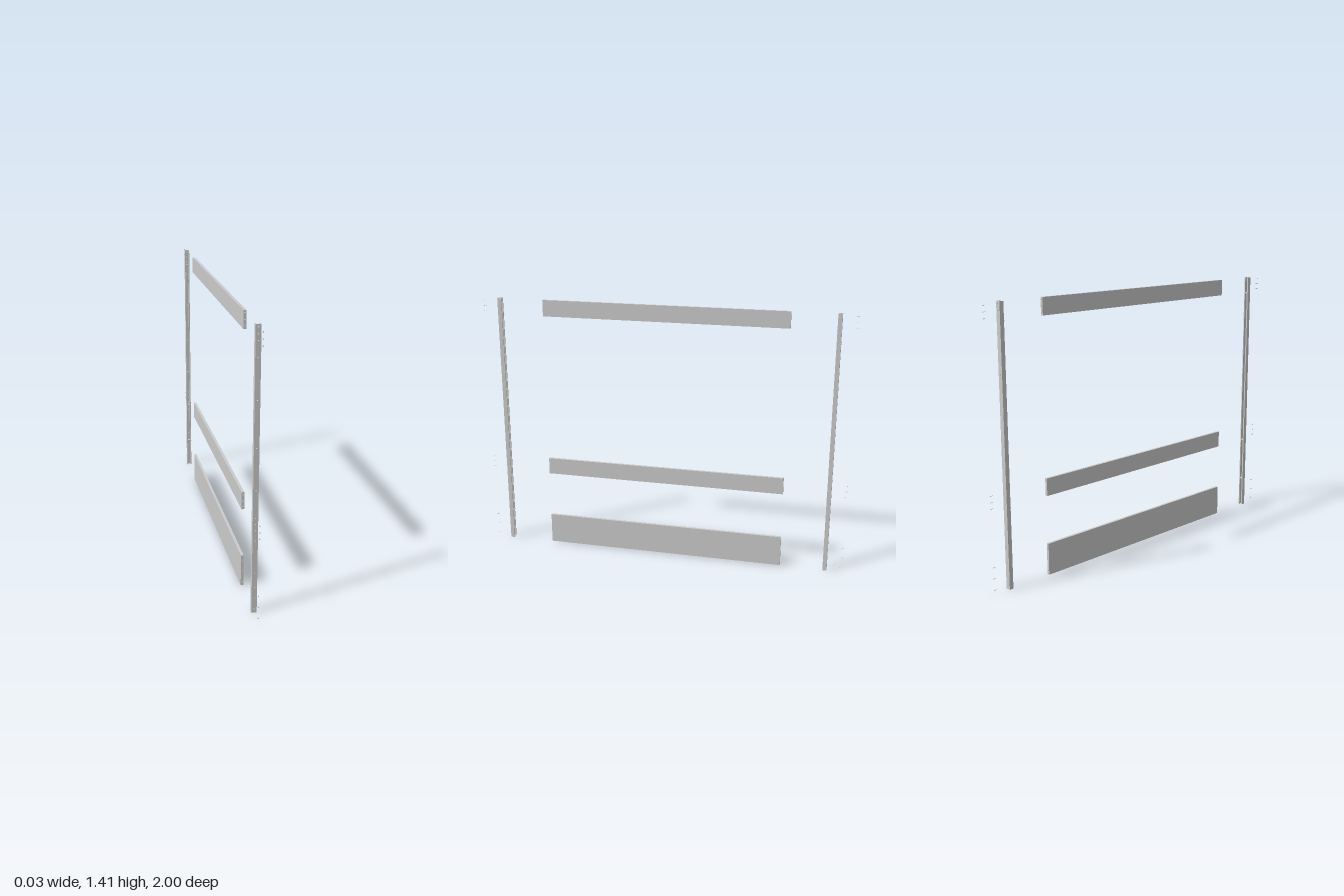
import * as THREE from 'three';

const HEIGHT = 1.413;
const POST_WIDTH = 0.026, POST_DEPTH = 0.022, WALL = 0.005;
const BOARD_THICKNESS = 0.014, BOARD_HALF = 0.662, PILOT_DEPTH = 0.015;
const HOLE_R = 0.0025;

const boards = [
  { name: 'bottomBoard', y0: 0, y1: 0.168, screws: [0.02, 0.08, 0.137] },
  { name: 'middleBoard', y0: 0.422, y1: 0.513, screws: [0.435, 0.466, 0.499] },
  { name: 'topBoard', y0: 1.325, y1: HEIGHT, screws: [1.34, 1.37, 1.401] },
];
const mountingHoles = [0.215, 0.382, 0.637, 0.845, 1.07, 1.265];
const stops = [0.171, 0.418, 1.322];

const material = new THREE.MeshStandardMaterial({ color: 0xcccccc });

function addMesh(parent, name, geometry, x = 0, y = 0, z = 0) {
  const mesh = new THREE.Mesh(geometry, material);
  mesh.name = name;
  mesh.position.set(x, y, z);
  parent.add(mesh);
  return mesh;
}

// Upright plate, pierced by round holes along its centre line
function piercedPlate(width, y0, y1, depth, holes) {
  const w = width / 2;
  const shape = new THREE.Shape([[-w, y0], [w, y0], [w, y1], [-w, y1]].map(p => new THREE.Vector2(...p)));
  for (const y of holes) shape.holes.push(new THREE.Path().absarc(0, y, HOLE_R, 0, Math.PI * 2, true));
  return new THREE.ExtrudeGeometry(shape, { depth, bevelEnabled: false, curveSegments: 8 });
}

// Board with pilot holes in both end faces
function createBoard({ name, y0, y1, screws }) {
  const board = new THREE.Group();
  board.name = name;
  const core = 2 * (BOARD_HALF - PILOT_DEPTH);
  addMesh(board, 'boardCore', new THREE.BoxGeometry(BOARD_THICKNESS, y1 - y0, core), 0, (y0 + y1) / 2, 0);
  const end = piercedPlate(BOARD_THICKNESS, y0, y1, PILOT_DEPTH, screws);
  addMesh(board, 'boardEnd', end, 0, 0, core / 2);
  addMesh(board, 'boardEnd', end, 0, 0, -BOARD_HALF);
  return board;
}

// Channel post, open towards -z, with small stops that locate the boards
function createPost() {
  const post = new THREE.Group();
  post.name = 'post';
  const allHoles = [...mountingHoles, ...boards.flatMap(b => b.screws)];
  addMesh(post, 'postWeb', piercedPlate(POST_WIDTH, 0, HEIGHT, WALL, allHoles), 0, 0, POST_DEPTH / 2 - WALL);
  const lip = POST_DEPTH - WALL;
  for (const side of [-1, 1]) {
    addMesh(post, 'postFlange', new THREE.BoxGeometry(WALL, HEIGHT, lip),
      side * (POST_WIDTH - WALL) / 2, HEIGHT / 2, -WALL / 2);
  }
  for (const y of stops) {
    addMesh(post, 'boardStop', new THREE.BoxGeometry(POST_WIDTH + 0.001, 0.005, lip + 0.002), 0, y, -WALL / 2 - 0.001);
  }
  return post;
}

// Screw along z with its countersunk head outward
function screwGeometry() {
  const profile = [[0, -0.007], [0.001, -0.005], [0.001, 0.004], [0.0028, 0.007], [0, 0.007]];
  return new THREE.LatheGeometry(profile.map(p => new THREE.Vector2(...p)), 10).rotateX(Math.PI / 2);
}

export function createModel() {
  const model = new THREE.Group();
  model.name = 'explodedBoardFrame';
  for (const b of boards) model.add(createBoard(b));

  const screw = screwGeometry();
  for (const end of ['front', 'back']) {
    const side = new THREE.Group();
    side.name = end + 'PostAndScrews';
    const post = createPost();
    post.position.z = 0.906;
    side.add(post);
    for (const y of boards.flatMap(b => b.screws)) addMesh(side, 'screw', screw, 0, y, 0.993);
    if (end === 'back') side.rotation.y = Math.PI;
    model.add(side);
  }
  return model;
}
